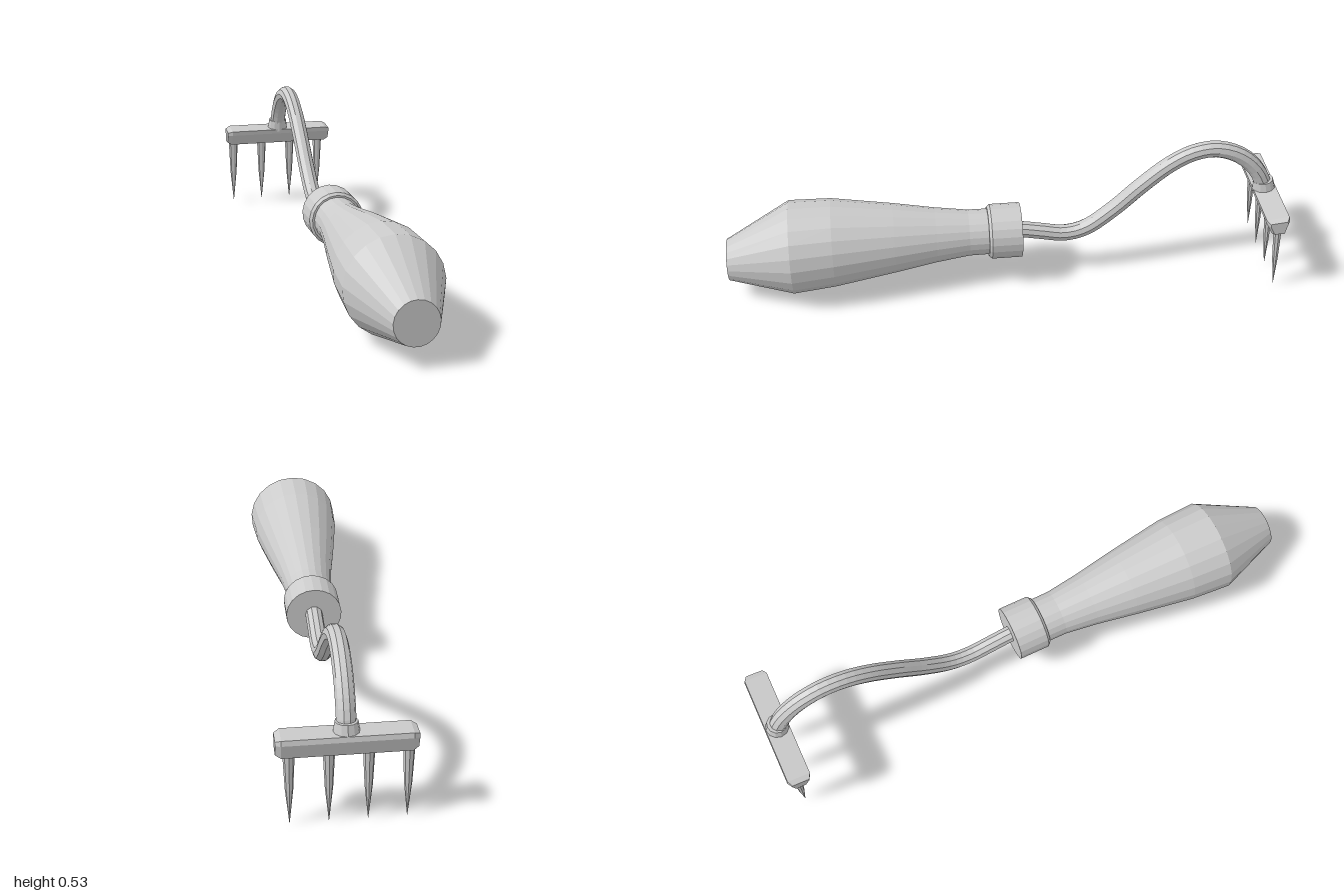
import * as THREE from 'three';
import { ConvexGeometry } from 'three/addons/geometries/ConvexGeometry.js';

const material = new THREE.MeshStandardMaterial({ color: 0xcccccc, flatShading: true });

function addMesh(parent, name, geometry) {
  const mesh = new THREE.Mesh(geometry, material);
  mesh.name = name;
  parent.add(mesh);
  return mesh;
}

// Turned part along z from [z, radius, centreY] rings, z ascending, closed at both ends.
function turned(rings, sides) {
  const first = rings[0], last = rings[rings.length - 1];
  const all = [[first[0], 0, first[2]], ...rings, [last[0], 0, last[2]]];
  const points = all.map(([z, r]) => new THREE.Vector2(r, z));
  const geometry = new THREE.LatheGeometry(points, sides, Math.PI);
  geometry.rotateX(Math.PI / 2);
  // lift every ring to its own centre height
  const pos = geometry.attributes.position;
  for (let i = 0; i < pos.count; i++) {
    pos.setY(i, pos.getY(i) + all[i % all.length][2]);
  }
  geometry.computeVertexNormals();
  return geometry;
}

export function createModel() {
  const model = new THREE.Group();
  model.name = 'handRake';

  // Wooden grip, drooping towards its butt end
  addMesh(model, 'handle', turned([
    [0.03, 0.083, 0.197], [0.13, 0.084, 0.197], [0.25, 0.1, 0.197], [0.4, 0.126, 0.196],
    [0.62, 0.16, 0.193], [0.77, 0.169, 0.185], [1, 0.075, 0.146],
  ], 21));

  // Metal ferrule with a bevelled front rim
  addMesh(model, 'ferrule', turned([
    [-0.06, 0.1, 0.196], [0.05, 0.1, 0.196], [0.06, 0.091, 0.196],
  ], 21));

  // Swan-neck rod
  const path = new THREE.CatmullRomCurve3([
    [0.0, 0.2], [-0.06, 0.197], [-0.14, 0.182], [-0.22, 0.168], [-0.3, 0.186], [-0.4, 0.262],
    [-0.5, 0.36], [-0.6, 0.446], [-0.68, 0.489], [-0.76, 0.5], [-0.84, 0.474],
    [-0.9, 0.425], [-0.94, 0.362], [-0.955, 0.3],
  ].map(([z, y]) => new THREE.Vector3(0, y, z)));
  addMesh(model, 'neck', new THREE.TubeGeometry(path, 40, 0.031, 10));

  // Collar where the neck meets the rake bar
  const collar = addMesh(model, 'collar', new THREE.CylinderGeometry(0.036, 0.042, 0.04, 12));
  collar.position.set(0, 0.335, -0.952);
  collar.rotation.x = 0.15;

  // Rake bar: tapered section with chamfered ends
  const section = [[-0.915, 0.317], [-0.917, 0.3], [-0.94, 0.257], [-0.988, 0.257], [-1, 0.31], [-0.996, 0.327]];
  const corners = [];
  for (const [x, scale] of [[0.2, 1], [0.218, 0.74]]) {
    for (const side of [-1, 1]) {
      for (const [z, y] of section) {
        corners.push(new THREE.Vector3(side * x, 0.292 + (y - 0.292) * scale, -0.958 + (z + 0.958) * scale));
      }
    }
  }
  addMesh(model, 'rakeBar', new ConvexGeometry(corners));

  // Four tines, leaning slightly backwards to the tip
  const profile = [[0, 0], [0.013, 0.13], [0.019, 0.262], [0, 0.262]].map(([r, y]) => new THREE.Vector2(r, y));
  const tineGeometry = new THREE.LatheGeometry(profile, 8);
  const tinePos = tineGeometry.attributes.position;
  for (let i = 0; i < tinePos.count; i++) {
    tinePos.setZ(i, tinePos.getZ(i) * 0.8 - 0.98 + tinePos.getY(i) * 0.05);
  }
  tineGeometry.computeVertexNormals();
  for (let i = 0; i < 4; i++) {
    addMesh(model, 'tine', tineGeometry).position.x = -0.19 + i * 0.122;
  }

  return model;
}
